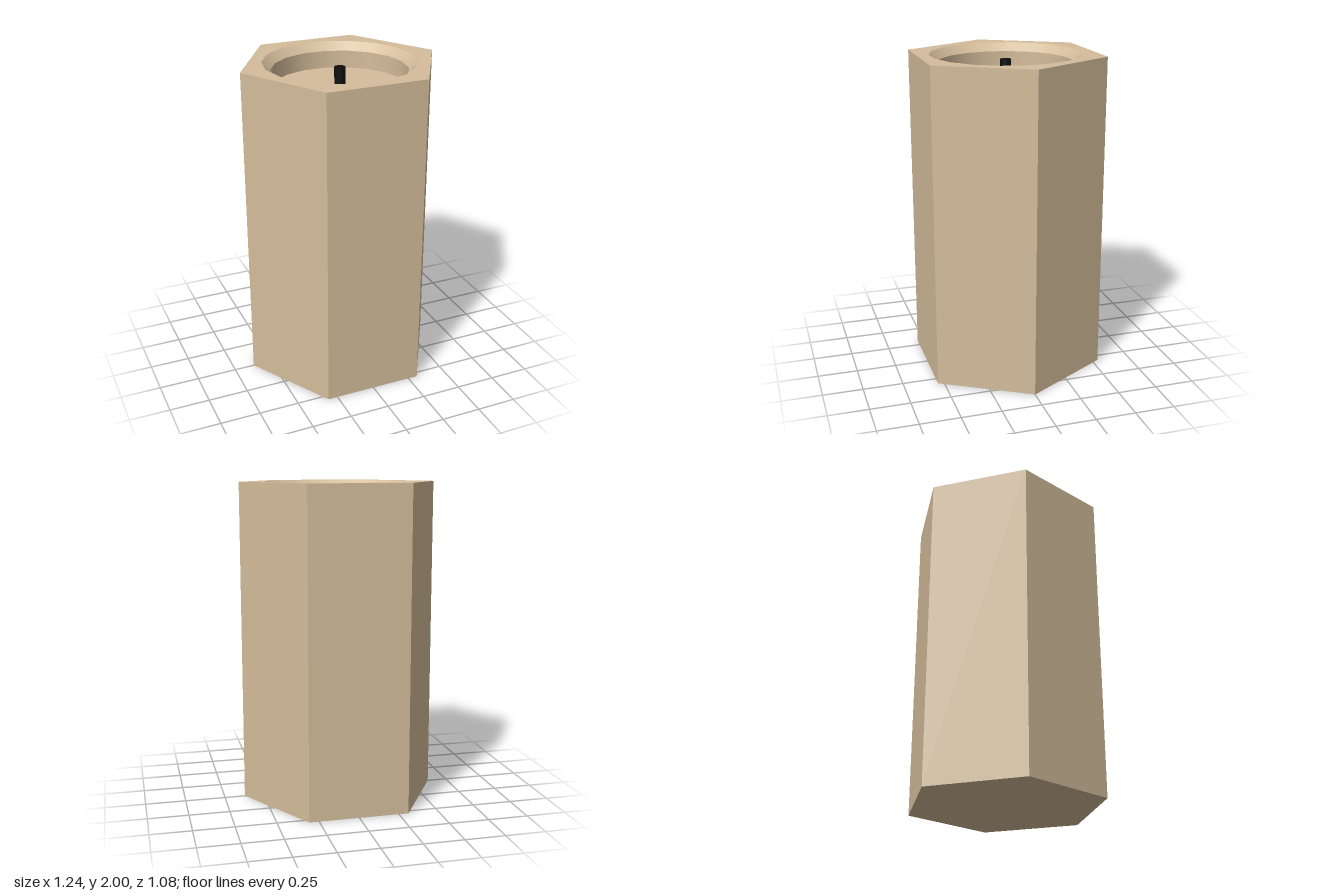
import * as THREE from 'three';

const HEX_R = 0.622, HEIGHT = 2;
const RIM_R = 0.467, WELL_R = 0.415, SIDES = 18;
const LIP_Y = 1.95, FLOOR_Y = 1.84, WICK_TOP = 1.965;

// Corner points of a regular polygon, the first one on +x
function polygon(radius, sides) {
  return Array.from({ length: sides }, (_, i) => {
    const a = (i / sides) * Math.PI * 2;
    return new THREE.Vector2(Math.cos(a) * radius, Math.sin(a) * radius);
  });
}

export function createModel() {
  const group = new THREE.Group();
  const wax = new THREE.MeshStandardMaterial({ color: 0xd4bd9b });
  wax.name = 'tan wax';
  const black = new THREE.MeshStandardMaterial({ color: 0x0e0e0e });
  black.name = 'black wick';

  const add = (name, geometry, material, y = 0) => {
    const mesh = new THREE.Mesh(geometry, material);
    mesh.name = name;
    mesh.position.y = y;
    group.add(mesh);
  };

  // Six flat sides
  const sides = new THREE.CylinderGeometry(HEX_R, HEX_R, HEIGHT, 6, 1, true, Math.PI / 2).toNonIndexed();
  sides.computeVertexNormals();
  add('hexagonalSides', sides, wax, HEIGHT / 2);
  add('base', new THREE.CircleGeometry(HEX_R, 6).rotateX(Math.PI / 2), wax);

  // Top face with the opening of the well
  const top = new THREE.Shape(polygon(HEX_R, 6));
  top.holes.push(new THREE.Path(polygon(RIM_R, SIDES)));
  add('topFace', new THREE.ShapeGeometry(top).rotateX(-Math.PI / 2), wax, HEIGHT);

  // Well: sloped lip, upright wall and floor; profiles run downward to face inward
  const ring = (r1, y1, r2, y2) => new THREE.LatheGeometry(
    [new THREE.Vector2(r1, y1), new THREE.Vector2(r2, y2)], SIDES, Math.PI / 2);
  add('wellLip', ring(RIM_R, HEIGHT, WELL_R, LIP_Y), wax);
  add('wellWall', ring(WELL_R, LIP_Y, WELL_R, FLOOR_Y), wax);
  add('wellFloor', new THREE.CircleGeometry(WELL_R, SIDES).rotateX(-Math.PI / 2), wax, FLOOR_Y);

  // Wick
  const wickHeight = WICK_TOP - FLOOR_Y;
  add('wick', new THREE.CylinderGeometry(0.034, 0.034, wickHeight, 16), black, FLOOR_Y + wickHeight / 2);

  return group;
}
